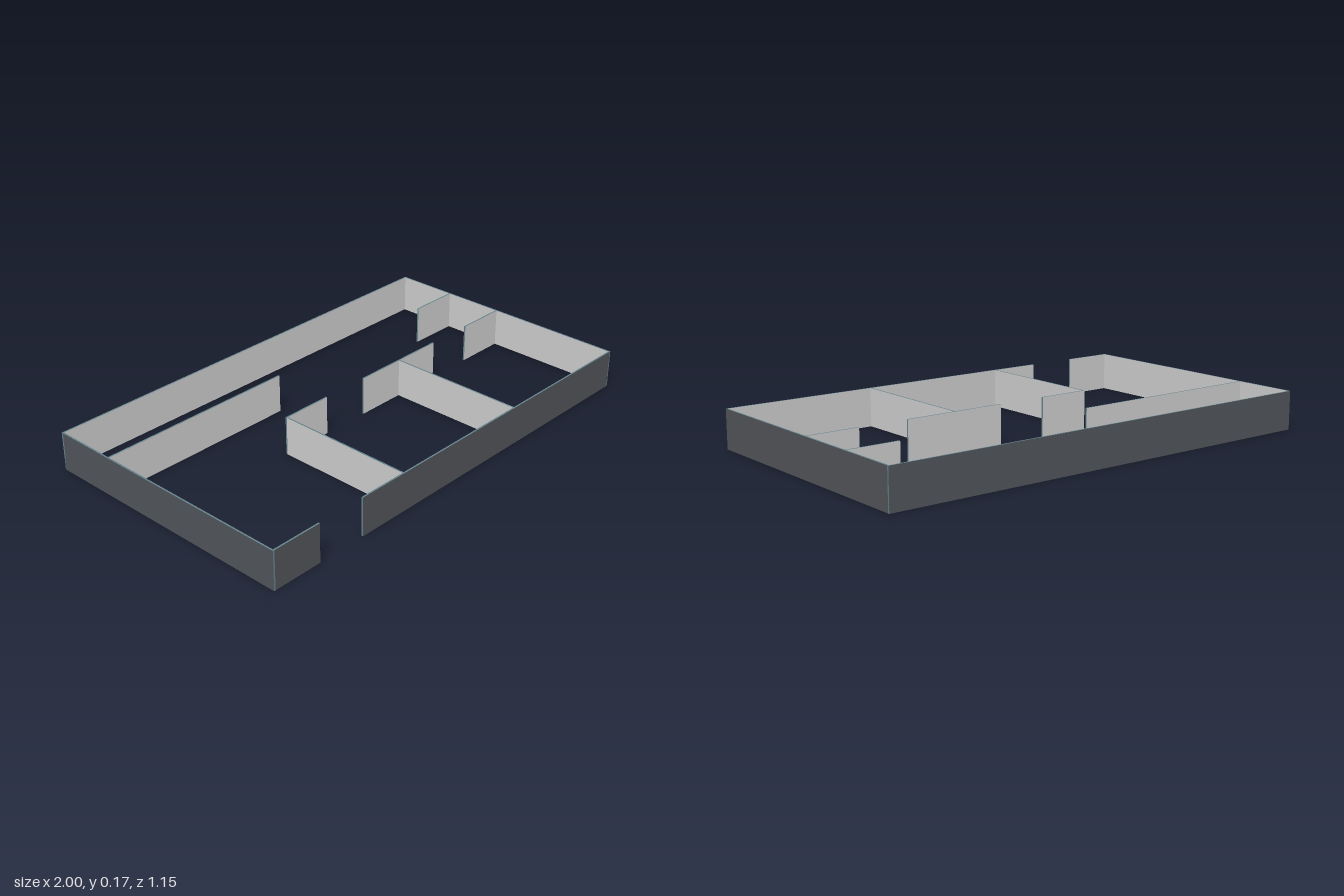
import * as THREE from 'three';

const H = 0.165, T = 0.007, X = 1, Z = 0.575;
const mat = (color) => new THREE.MeshStandardMaterial({ color });

export function createModel() {
  const model = new THREE.Group();
  const plaster = mat(0xcccccc), outside = mat(0x505358), cap = mat(0x64828c);

  // One wall between two plan corners; `outer` is the box side painted dark
  // (box sides: 0 +x, 1 -x, 2 top, 3 bottom, 4 +z, 5 -z).
  const wall = (name, x0, x1, z0, z1, outer = -1) => {
    const sides = [plaster, plaster, cap, cap, plaster, plaster];
    const alongX = x1 - x0 > z1 - z0;
    for (const i of alongX ? [0, 1] : [4, 5]) sides[i] = cap;
    if (outer >= 0) sides[outer] = outside;
    const mesh = new THREE.Mesh(new THREE.BoxGeometry(x1 - x0, H, z1 - z0), sides);
    mesh.position.set((x0 + x1) / 2, H / 2, (z0 + z1) / 2);
    mesh.name = name;
    model.add(mesh);
  };

  // Outer shell, with the entrance gap in the front
  wall('backWall', -X, X, -Z, -Z + T, 5);
  wall('leftWall', X - T, X, -Z, Z, 0);
  wall('rightWall', -X, -X + T, -Z, Z, 1);
  wall('frontWallShort', -X, -0.775, Z - T, Z, 4);
  wall('frontWallLong', -0.555, X, Z - T, Z, 4);

  // Partitions running across, with door gaps between them
  const across = [
    ['corridorBackWall', -X + T, -0.11, -0.3],
    ['corridorBackStub', 0.77, X - T, -0.3],
    ['middleRoomStub', -0.336, -0.11, -0.03],
    ['roomDividerHead', 0.107, 0.553, -0.03],
    ['leftRoomStub', 0.77, X - T, -0.03],
  ];
  for (const [name, x0, x1, z] of across) wall(name, x0, x1, z - T / 2, z + T / 2);

  // Partitions between the front rooms
  for (const x of [-0.333, 0.33]) wall('roomDivider', x - T / 2, x + T / 2, -0.03 + T / 2, Z - T);

  return model;
}
